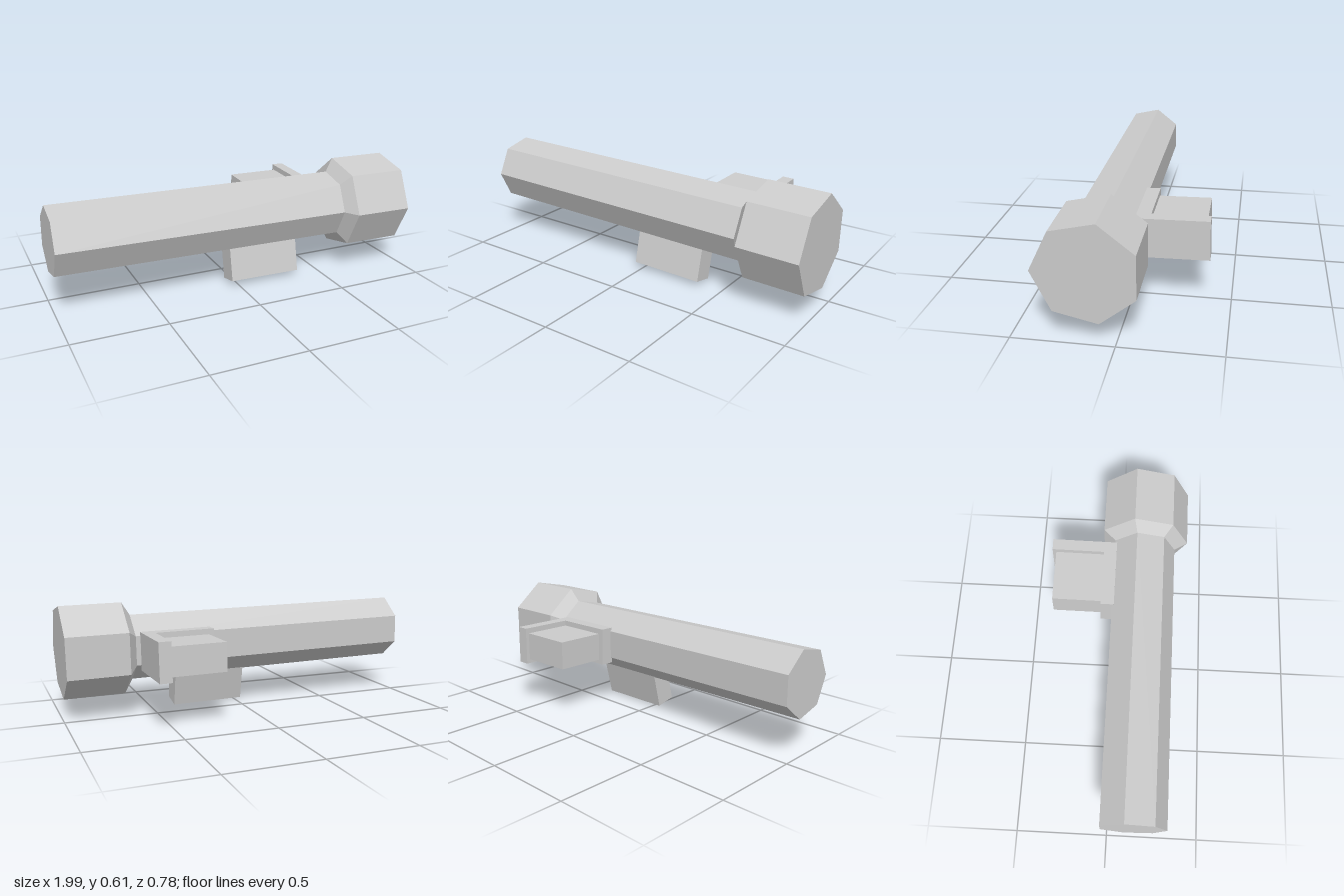
import * as THREE from 'three';

export function createModel() {
  const model = new THREE.Group();
  model.name = 'barrelTool';
  const grey = new THREE.MeshStandardMaterial({ color: 0xcccccc, flatShading: true });
  grey.name = 'plain grey';

  // Everything hangs on one slightly tilted axis along x
  const body = new THREE.Group();
  body.name = 'body';
  body.position.set(0, 0.364, 0.133);
  body.rotation.z = -0.0135;
  model.add(body);

  // Box given by its min and max corners
  const box = (name, parent, [x0, y0, z0], [x1, y1, z1]) => {
    const geometry = new THREE.BoxGeometry(x1 - x0, y1 - y0, z1 - z0);
    const mesh = new THREE.Mesh(geometry, grey);
    mesh.position.set((x0 + x1) / 2, (y0 + y1) / 2, (z0 + z1) / 2);
    mesh.name = name;
    parent.add(mesh);
  };

  // Seven-sided shaft flaring into the wider head
  const profile = [
    [0, -0.997], [0.182, -0.997], [0.182, 0.615],
    [0.256, 0.662], [0.256, 0.992], [0, 0.992],
  ].map(([r, y]) => new THREE.Vector2(r, y));
  const shaft = new THREE.Mesh(new THREE.LatheGeometry(profile, 7), grey);
  shaft.name = 'shaftAndHead';
  shaft.rotation.z = -Math.PI / 2;
  body.add(shaft);

  // Grip block standing square on the lower facet
  const lower = new THREE.Group();
  lower.name = 'lowerGrip';
  lower.rotation.x = -Math.PI / 14;
  body.add(lower);
  box('gripBlock', lower, [-0.035, -0.354, -0.083], [0.37, -0.13, 0.03]);

  // L-shaped bracket on the back facet, holding a smaller block
  const bracket = new THREE.Group();
  bracket.name = 'backBracket';
  bracket.rotation.x = 0.018;
  body.add(bracket);
  box('bracketBase', bracket, [0.2, -0.112, -0.228], [0.59, 0.096, -0.155]);
  box('bracketSide', bracket, [0.525, -0.112, -0.522], [0.59, 0.096, -0.228]);
  box('backBlock', bracket, [0.23, -0.088, -0.502], [0.525, 0.066, -0.228]);

  return model;
}
